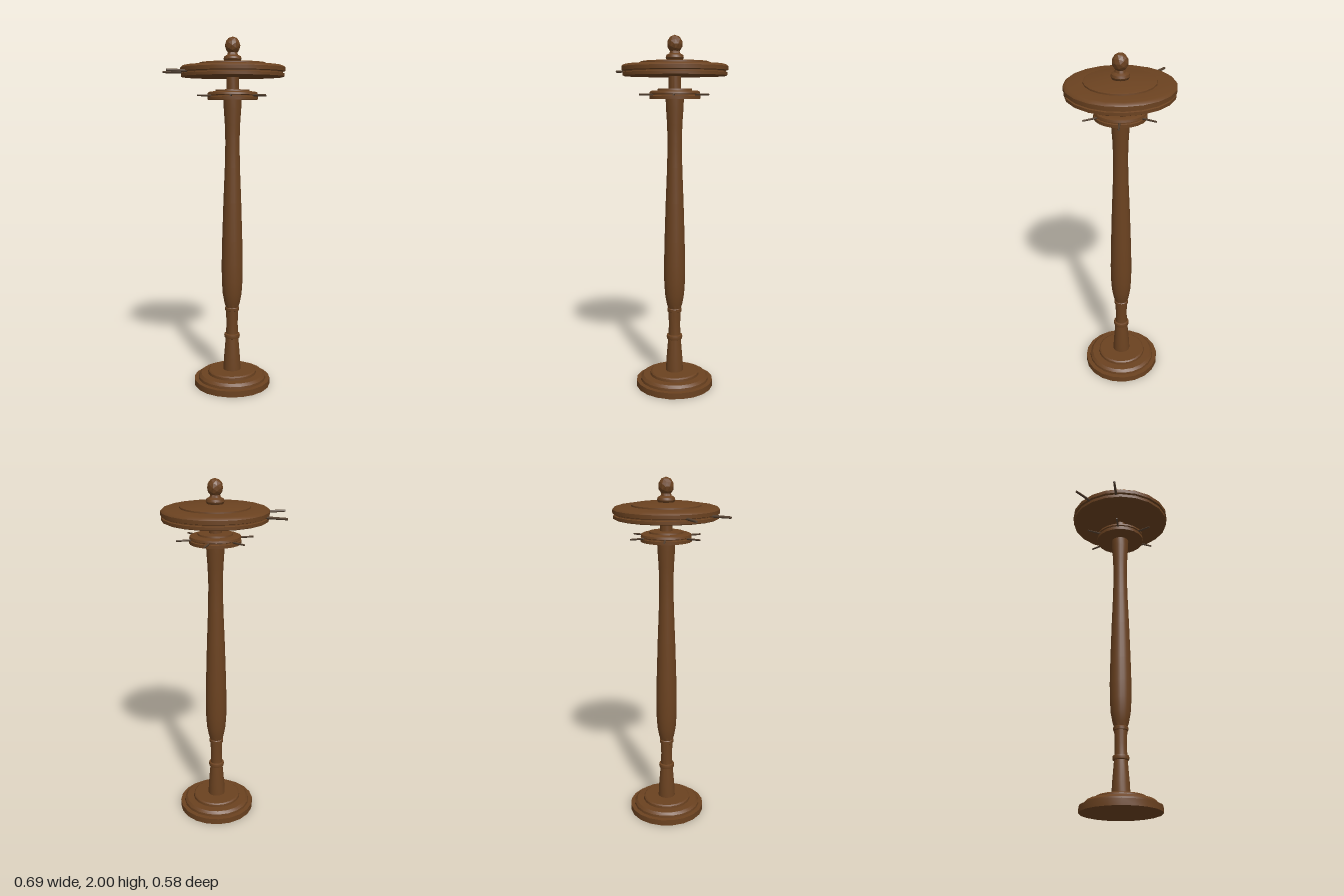
import * as THREE from 'three';
import { toCreasedNormals } from 'three/addons/utils/BufferGeometryUtils.js';

const SIDES = 20;
const wood = new THREE.MeshStandardMaterial({ color: 0x6b4220 });
const knobWood = new THREE.MeshStandardMaterial({ color: 0x6b4220, flatShading: true });
const pegWood = new THREE.MeshStandardMaterial({ color: 0x54402f });

// Turned part from [radius, height] pairs, listed from bottom to top
function turned(name, profile) {
  const points = profile.map(([r, y]) => new THREE.Vector2(r, y));
  const geometry = toCreasedNormals(new THREE.LatheGeometry(points, SIDES), 0.6);
  const mesh = new THREE.Mesh(geometry, wood);
  mesh.name = name;
  return mesh;
}

// Horizontal peg pointing outward; angle 0 is +x, 90 degrees is +z
function peg(name, inner, outer, y, radius, degrees) {
  const a = THREE.MathUtils.degToRad(degrees);
  const geometry = new THREE.CylinderGeometry(radius, radius * 0.8, outer - inner, 8);
  geometry.rotateZ(Math.PI / 2);
  geometry.translate((inner + outer) / 2, y, 0);
  geometry.rotateY(-a);
  const mesh = new THREE.Mesh(toCreasedNormals(geometry, 0.9), pegWood);
  mesh.name = name;
  return mesh;
}

export function createModel() {
  const model = new THREE.Group();
  model.name = 'turnedStand';

  // Stepped round foot
  model.add(turned('base', [
    [0, 0], [0.222, 0], [0.222, 0.035], [0.198, 0.036], [0.196, 0.05], [0.182, 0.064],
    [0.142, 0.066], [0.14, 0.08], [0.132, 0.086], [0, 0.088],
  ]));

  // Baluster column with two raised rings
  model.add(turned('column', [
    [0.051, 0.08], [0.047, 0.16], [0.037, 0.278], [0.044, 0.281], [0.046, 0.292], [0.044, 0.303],
    [0.035, 0.306], [0.033, 0.37], [0.036, 0.442], [0.041, 0.445], [0.041, 0.461], [0.037, 0.465],
    [0.045, 0.49], [0.055, 0.545], [0.06, 0.62], [0.061, 0.72], [0.058, 0.86], [0.051, 1.08],
    [0.043, 1.28], [0.04, 1.42], [0.043, 1.52], [0.049, 1.61], [0.051, 1.665],
  ]));

  // Small lower disc with its ring of six pegs
  const pegDisc = new THREE.Group();
  pegDisc.name = 'pegDisc';
  pegDisc.add(turned('lowerDisc', [
    [0, 1.657], [0.141, 1.657], [0.141, 1.674], [0.134, 1.677], [0.134, 1.682], [0.141, 1.685],
    [0.138, 1.697], [0.125, 1.702], [0.096, 1.703], [0.094, 1.712], [0.04, 1.714], [0, 1.714],
  ]));
  for (let i = 0; i < 6; i++) {
    pegDisc.add(peg('smallPeg', 0.12, 0.215, 1.68, 0.006, 30 + i * 60));
  }
  model.add(pegDisc);

  model.add(turned('neck', [[0.035, 1.7], [0.035, 1.79]]));

  // Wide upper disc with grooved rim and raised centre
  model.add(turned('upperDisc', [
    [0, 1.78], [0.28, 1.78], [0.288, 1.784], [0.288, 1.8], [0.28, 1.803], [0.28, 1.808],
    [0.292, 1.812], [0.292, 1.832], [0.284, 1.84], [0.27, 1.845], [0.191, 1.848], [0.19, 1.856],
    [0.18, 1.86], [0.04, 1.868], [0, 1.868],
  ]));
  model.add(peg('upperPeg', 0.26, 0.397, 1.811, 0.008, 185));
  model.add(peg('upperPeg', 0.26, 0.395, 1.811, 0.008, 149.5));

  // Finial: turned collar with a faceted knob
  model.add(turned('finialCollar', [
    [0.035, 1.86], [0.045, 1.868], [0.05, 1.88], [0.046, 1.893], [0.03, 1.902], [0.024, 1.92],
  ]));
  const knob = new THREE.Mesh(new THREE.IcosahedronGeometry(1, 1), knobWood);
  knob.name = 'finialKnob';
  knob.scale.set(0.043, 0.049, 0.043);
  knob.position.y = 1.951;
  model.add(knob);

  // The pegs on one side shift the axis off centre
  for (const part of model.children) part.position.x = 0.051;
  return model;
}
